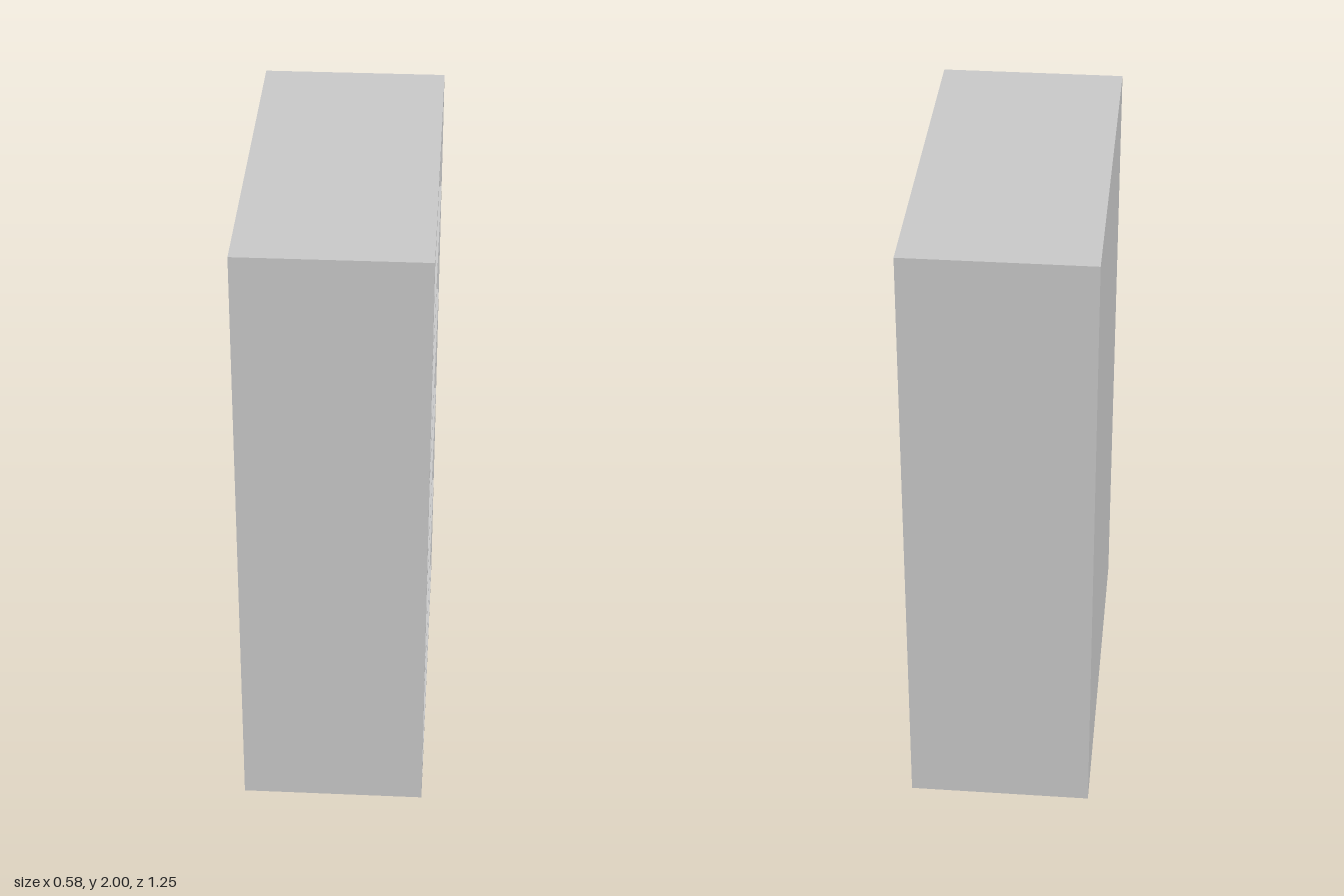
import * as THREE from 'three';

const DEPTH = 0.58, HEIGHT = 2, WIDTH = 1.245;
const FRONT_X = DEPTH / 2, INNER_BACK_X = -0.225, INNER_HALF = 0.58;
// Bottom and top of each compartment
const BAYS = [[0.045, 0.405], [0.43, 0.8], [0.825, 1.2], [1.225, 1.595], [1.62, 1.96]];

// Box sheet with chosen faces left open (face order: +x -x +y -y +z -z)
function openBox(w, h, d, openFaces) {
  const geo = new THREE.BoxGeometry(w, h, d);
  const index = Array.from(geo.index.array);
  geo.setIndex(index.filter((_, i) => !openFaces.includes(Math.floor(i / 6))));
  geo.clearGroups();
  return geo;
}

// Counter-clockwise rectangle outline, centred on x = 0
function rectangle(path, half, y0, y1) {
  path.moveTo(-half, y0);
  path.lineTo(half, y0);
  path.lineTo(half, y1);
  path.lineTo(-half, y1);
  path.closePath();
  return path;
}

export function createModel() {
  const group = new THREE.Group();
  group.name = 'bookcase';
  const material = new THREE.MeshStandardMaterial({ color: 0xcccccc, side: THREE.DoubleSide });
  const add = (name, geometry) => {
    const mesh = new THREE.Mesh(geometry, material);
    mesh.name = name;
    group.add(mesh);
    return mesh;
  };

  // Outer case: back, top and sides, open underneath and at the shelf side
  add('outerCase', openBox(DEPTH, HEIGHT, WIDTH, [0, 3])).position.y = HEIGHT / 2;

  // Frame and shelf edges around the openings, facing +x
  const face = rectangle(new THREE.Shape(), WIDTH / 2, 0, HEIGHT);
  for (const [y0, y1] of BAYS) face.holes.push(rectangle(new THREE.Path(), INNER_HALF, y0, y1));
  const frame = add('faceFrame', new THREE.ShapeGeometry(face));
  frame.rotation.y = Math.PI / 2;
  frame.position.x = FRONT_X;

  // Recessed compartments: shelf tops, undersides, inner sides and inner back
  BAYS.forEach(([y0, y1], i) => {
    const bay = add(`compartment${i + 1}`, openBox(FRONT_X - INNER_BACK_X, y1 - y0, INNER_HALF * 2, [0]));
    bay.position.set((FRONT_X + INNER_BACK_X) / 2, (y0 + y1) / 2, 0);
  });

  return group;
}
